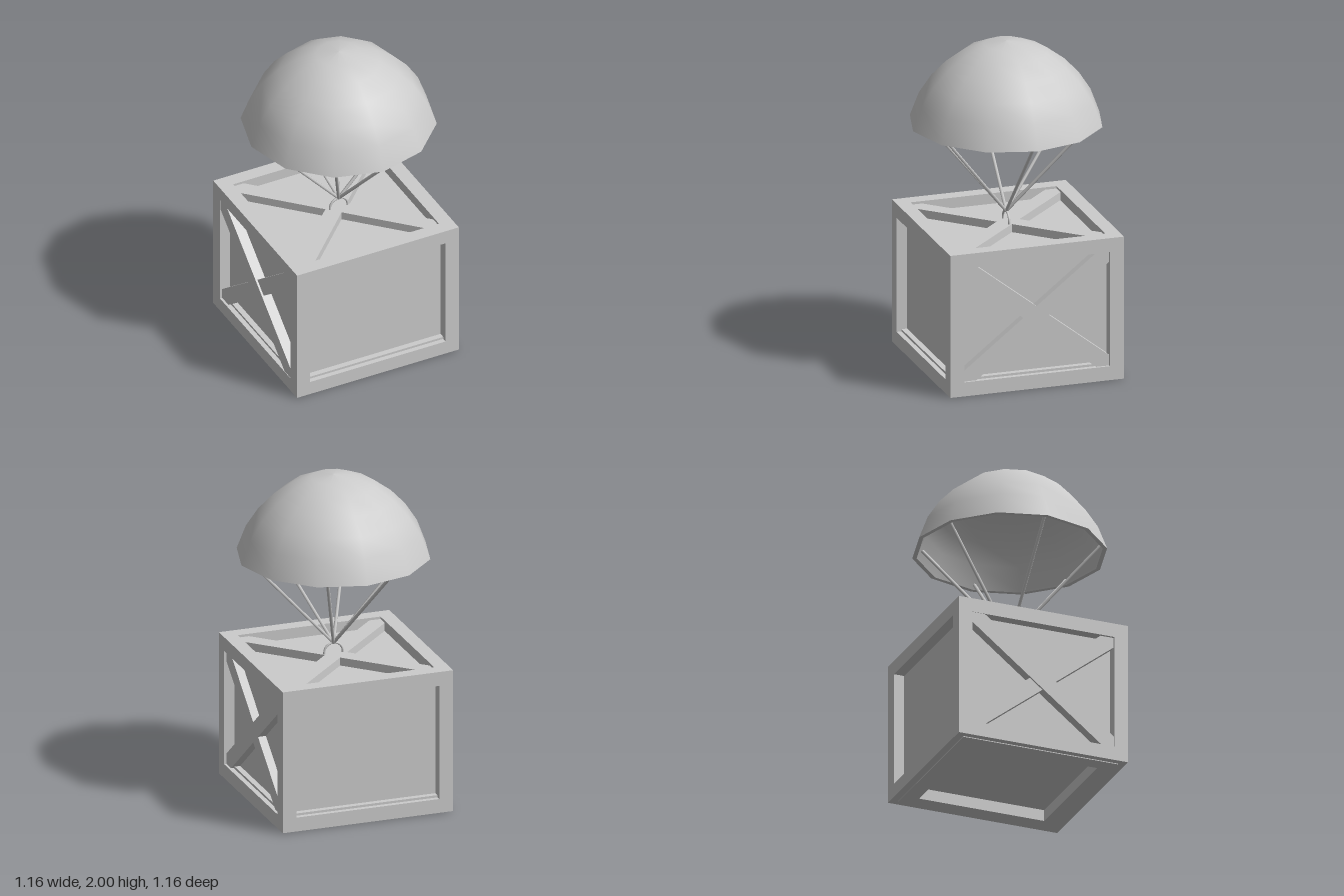
import * as THREE from 'three';

export function createModel() {
  const model = new THREE.Group();
  model.name = 'airdropCrate';
  const material = new THREE.MeshStandardMaterial({ color: 0xcccccc });

  function add(parent, name, geometry, x = 0, y = 0, z = 0) {
    const mesh = new THREE.Mesh(geometry, material);
    mesh.name = name;
    mesh.position.set(x, y, z);
    parent.add(mesh);
    return mesh;
  }
  const box = (w, h, d) => new THREE.BoxGeometry(w, h, d);

  // Crate, slightly off the parachute axis
  const W = 1.07, D = 1.08, B = 0.087, RECESS = 0.065;
  const Y0 = 0.005, Y1 = 0.89, H = Y1 - Y0, MID = (Y0 + Y1) / 2;
  const crate = new THREE.Group();
  crate.name = 'crate';
  crate.position.set(-0.01, 0, -0.015);
  model.add(crate);

  add(crate, 'panels', box(W - 2 * RECESS, H - 2 * RECESS, D - 2 * RECESS), 0, MID, 0);

  // Outer frame: four posts and eight rails
  for (const sx of [-1, 1]) {
    for (const sz of [-1, 1]) {
      add(crate, 'cornerPost', box(B, H, B), sx * (W - B) / 2, MID, sz * (D - B) / 2);
    }
  }
  for (const y of [Y0 + B / 2, Y1 - B / 2]) {
    for (const s of [-1, 1]) {
      add(crate, 'crossRail', box(W - 2 * B, B, B), 0, y, s * (D - B) / 2);
      add(crate, 'sideRail', box(B, B, D - 2 * B), s * (W - B) / 2, y, 0);
    }
  }

  // Narrow sills at the foot of the four wall panels
  for (const s of [-1, 1]) {
    add(crate, 'sill', box(W - 2 * B, 0.02, 0.05), 0, 0.096, s * (D / 2 - 0.055));
    add(crate, 'sill', box(0.05, 0.02, D - 2 * B), s * (W / 2 - 0.055), 0.096, 0);
  }

  // Inner frame under the floor
  const outline = new THREE.Shape([[-1, -1], [1, -1], [1, 1], [-1, 1]]
    .map(([a, b]) => new THREE.Vector2(a * 0.495, b * 0.495)));
  outline.holes.push(new THREE.Path([[-1, -1], [-1, 1], [1, 1], [1, -1]]
    .map(([a, b]) => new THREE.Vector2(a * 0.4, b * 0.4))));
  const floorFrame = new THREE.ExtrudeGeometry(outline, { depth: 0.08, bevelEnabled: false });
  floorFrame.rotateX(-Math.PI / 2);
  add(crate, 'floorFrame', floorFrame);

  // Crossed braces on the two sides and the lid
  function addBraces(name, w, h, lift) {
    const group = new THREE.Group();
    group.name = name;
    const angle = Math.atan2(h, w);
    [1, -1].forEach((s, i) => {
      const t = 0.05 + (i ? lift : 0);
      add(group, 'brace', box(Math.hypot(w, h) + 0.02, 0.1, t), 0, 0, t / 2).rotation.z = s * angle;
    });
    crate.add(group);
    return group;
  }
  const openX = W - 2 * B, openY = H - 2 * B, openZ = D - 2 * B;
  const left = addBraces('leftBraces', openZ, openY, 0);
  left.position.set(W / 2 - RECESS, MID, 0);
  left.rotation.y = Math.PI / 2;
  const right = addBraces('rightBraces', openZ, openY, 0.012);
  right.position.set(-W / 2 + RECESS, MID, 0);
  right.rotation.y = -Math.PI / 2;
  const lid = addBraces('lidBraces', openX, openZ, 0);
  lid.position.set(0, Y1 - RECESS, 0);
  lid.rotation.x = -Math.PI / 2;

  // Lifting ring
  add(model, 'liftingRing', new THREE.TorusGeometry(0.058, 0.007, 8, 20, Math.PI), 0, 0.883, 0);
  for (const s of [-1, 1]) {
    add(model, 'ringFoot', new THREE.CylinderGeometry(0.007, 0.007, 0.03, 8), s * 0.058, 0.87, 0);
  }

  // Parachute lines, fanning out to just inside the canopy rim
  const knot = new THREE.Vector3(0, 0.94, 0);
  const ends = [[0.51, 0], [-0.51, 0], [0.25, 0.45], [-0.25, 0.45], [0.205, -0.45], [-0.205, -0.45]];
  for (const [x, z] of ends) {
    const end = new THREE.Vector3(x, 1.5, z).sub(knot).multiplyScalar(1.04).add(knot);
    const path = new THREE.LineCurve3(knot, end);
    add(model, 'parachuteLine', new THREE.TubeGeometry(path, 1, 0.01, 6));
  }

  // Twelve-sided canopy: outer skin, inner skin and rim
  const outer = [[0.578, 1.5], [0.523, 1.645], [0.45, 1.757], [0.36, 1.852],
    [0.252, 1.932], [0.135, 1.983], [0, 2]].map(([r, y]) => new THREE.Vector2(r, y));
  const inner = outer.map(p => new THREE.Vector2(p.x * 0.955, 1.5 + (p.y - 1.5) * 0.95)).reverse();
  const canopy = new THREE.Group();
  canopy.name = 'canopy';
  model.add(canopy);
  add(canopy, 'canopyOuter', new THREE.LatheGeometry(outer, 12));
  add(canopy, 'canopyInner', new THREE.LatheGeometry(inner, 12));
  add(canopy, 'canopyRim', new THREE.LatheGeometry([inner[inner.length - 1], outer[0]], 12));

  return model;
}
